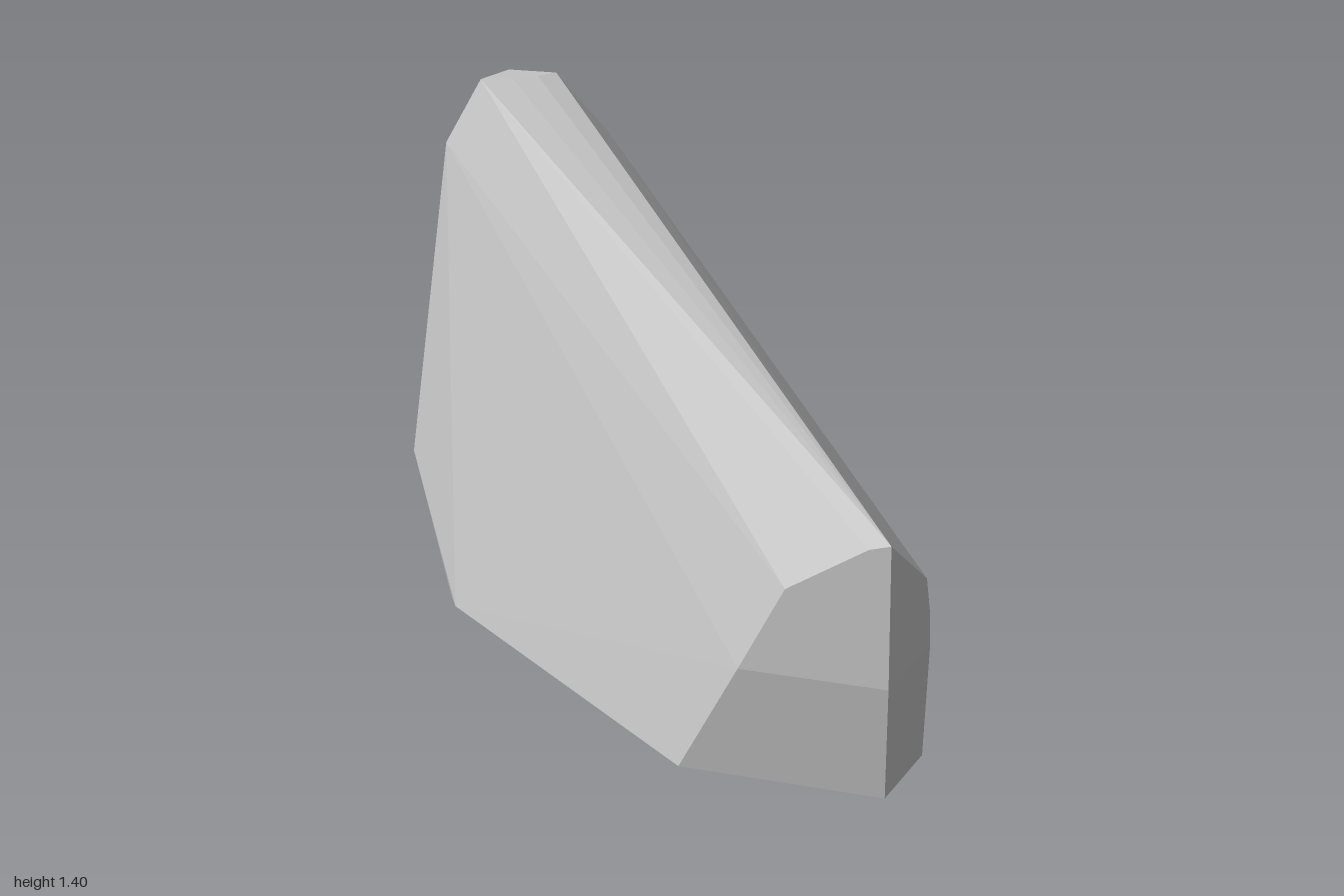
import * as THREE from 'three';
import { ConvexGeometry } from 'three/addons/geometries/ConvexGeometry.js';

export function createModel() {
  const group = new THREE.Group();
  group.name = 'rock';

  const stone = new THREE.MeshStandardMaterial({ color: 0xc3c3c3 });
  stone.name = 'pale stone grey';

  // Corner rings of the faceted boulder
  const rings = {
    base: [[0.965, 0, 0.65], [0.965, 0, 0.95], [0.425, 0, 0.95], [-0.62, 0, 0.08], [-0.66, 0, 0.02], [-0.01, 0, 0.02]],
    belly: [[-0.985, 0.3, -1], [-0.985, 0.3, -0.39], [0.6, 0.3, 1], [0.985, 0.3, 1], [0.985, 0.3, 0.67], [-0.07, 0.3, -0.4]],
    lowEnd: [[0.985, 0.4, 0.68], [0.985, 0.49, 0.71], [0.72, 0.52, 1], [0.93, 0.645, 1], [0.985, 0.66, 1]],
    highEnd: [[-0.985, 1.205, -1], [-0.985, 1.205, -0.65], [-0.6, 1.205, -1], [-0.6, 1.14, -1]],
    crown: [[-0.88, 1.4, -0.88], [-0.72, 1.4, -0.88], [-0.745, 1.4, -0.8], [-0.8, 1.4, -0.735], [-0.88, 1.4, -0.68]],
  };
  const points = Object.values(rings).flat().map((p) => new THREE.Vector3(...p));

  // Flat facets wrap the corners
  const boulder = new THREE.Mesh(new ConvexGeometry(points), stone);
  boulder.name = 'boulder';
  group.add(boulder);
  return group;
}
